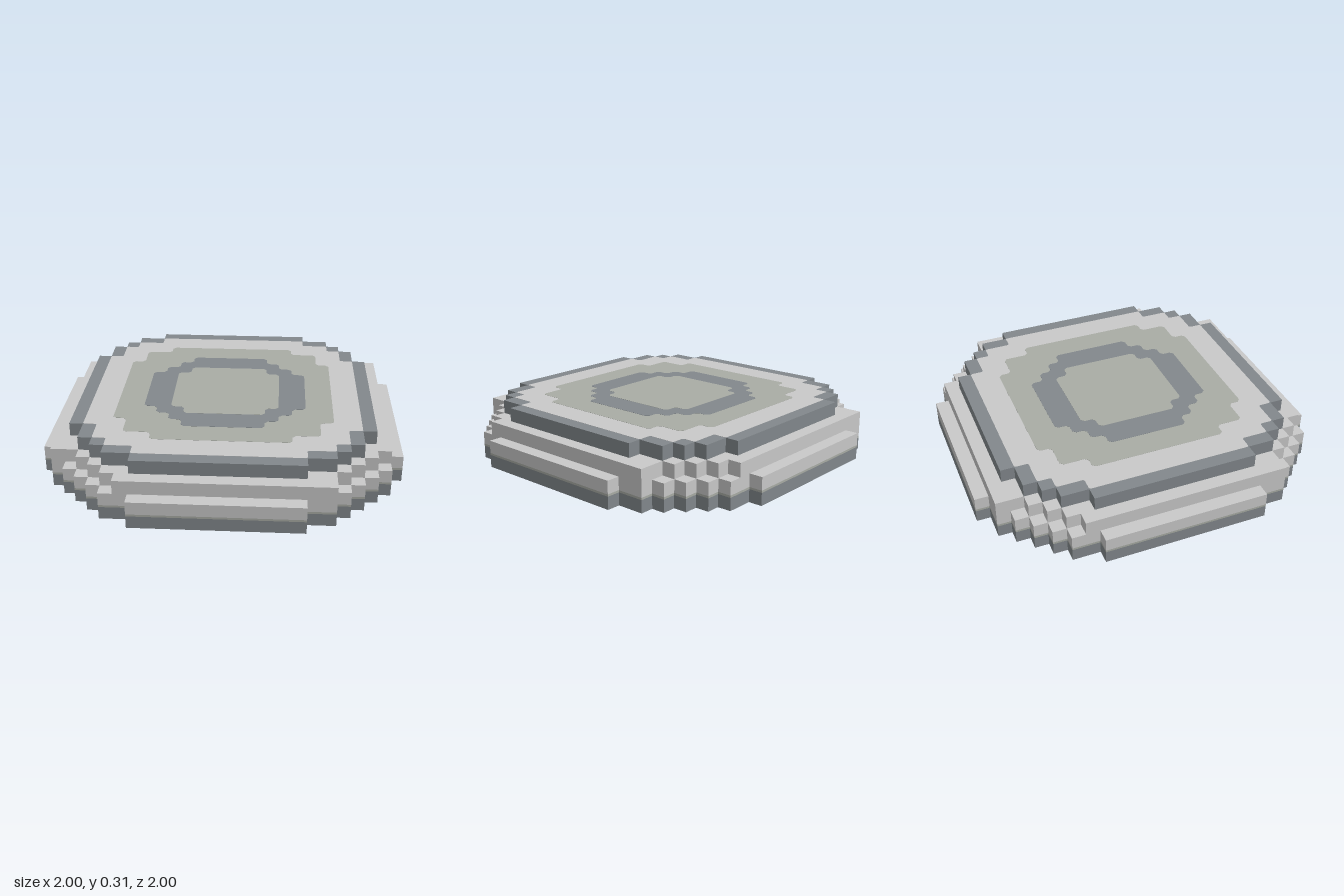
import * as THREE from 'three';

const U = 2 / 26; // one block

const mat = (name, color) => {
  const m = new THREE.MeshStandardMaterial({ color });
  m.name = name;
  return m;
};

// Stepped outline: a staircase of [x, z] corners for one quadrant, turned four times.
// "cut" trims the corners slightly.
function steppedShape(stairs, cut = 0) {
  const quarter = [];
  stairs.forEach(([x, z], i) => {
    if (i > 0) quarter.push([x, stairs[i - 1][1]]);
    quarter.push([x, z]);
  });
  let pts = [];
  for (let k = 0; k < 4; k++) {
    for (const [x, z] of quarter) {
      const [c, s] = [[1, 0], [0, 1], [-1, 0], [0, -1]][k];
      pts.push(new THREE.Vector2((x * c - z * s) * U, (x * s + z * c) * U));
    }
  }
  if (cut > 0) {
    const n = pts.length;
    pts = pts.flatMap((p, i) => [pts[(i + n - 1) % n], pts[(i + 1) % n]].map((q) =>
      p.clone().add(q.clone().sub(p).setLength(cut))));
  }
  return new THREE.Shape(pts);
}

export function createModel() {
  const group = new THREE.Group();
  const dark = mat('dark slate', 0x82888c);
  const light = mat('light stone', 0xc9c9c9);
  const olive = mat('grey olive', 0xa9aca5);

  const slab = (name, stairs, bottom, top, material, cut) => {
    const geo = new THREE.ExtrudeGeometry(steppedShape(stairs, cut), { depth: top - bottom, bevelEnabled: false });
    geo.rotateX(Math.PI / 2).translate(0, top, 0);
    const mesh = new THREE.Mesh(geo, material);
    mesh.name = name;
    group.add(mesh);
  };

  // Base, two blocks high, with a narrow band between its colours
  const base = [[13, 6], [12, 8], [11, 9], [10, 10], [9, 11], [8, 12], [6, 13]];
  slab('baseFoot', base, 0, 0.07, dark);
  slab('baseBand', base, 0.07, 0.082, olive);
  slab('baseUpper', base, 0.082, 2 * U, light);

  // Middle step, with one missing block by each corner
  slab('middleStep', [[12, 7], [11, 8], [10, 9], [9, 10], [8, 12]], 2 * U, 3 * U, light);

  // Top step
  slab('topStep', [[11, 6], [10, 8], [9, 9], [8, 10], [6, 11]], 3 * U, 4 * U, dark);

  // Painted rings on the top, nested from outside in
  const rings = [
    ['outerField', [[10, 6], [9, 8], [8, 9], [6, 10]], light, 0.008],
    ['innerField', [[8, 5], [7, 7], [5, 8]], olive, 0.018],
    ['darkRing', [[6, 3], [5, 4], [4, 5], [3, 6]], dark, 0.018],
    ['centreField', [[4, 3], [3, 4]], olive, 0.018],
  ];
  rings.forEach(([name, stairs, material, cut], i) => {
    const bottom = 4 * U + i * 0.001;
    slab(name, stairs, bottom, bottom + 0.001, material, cut);
  });

  return group;
}
